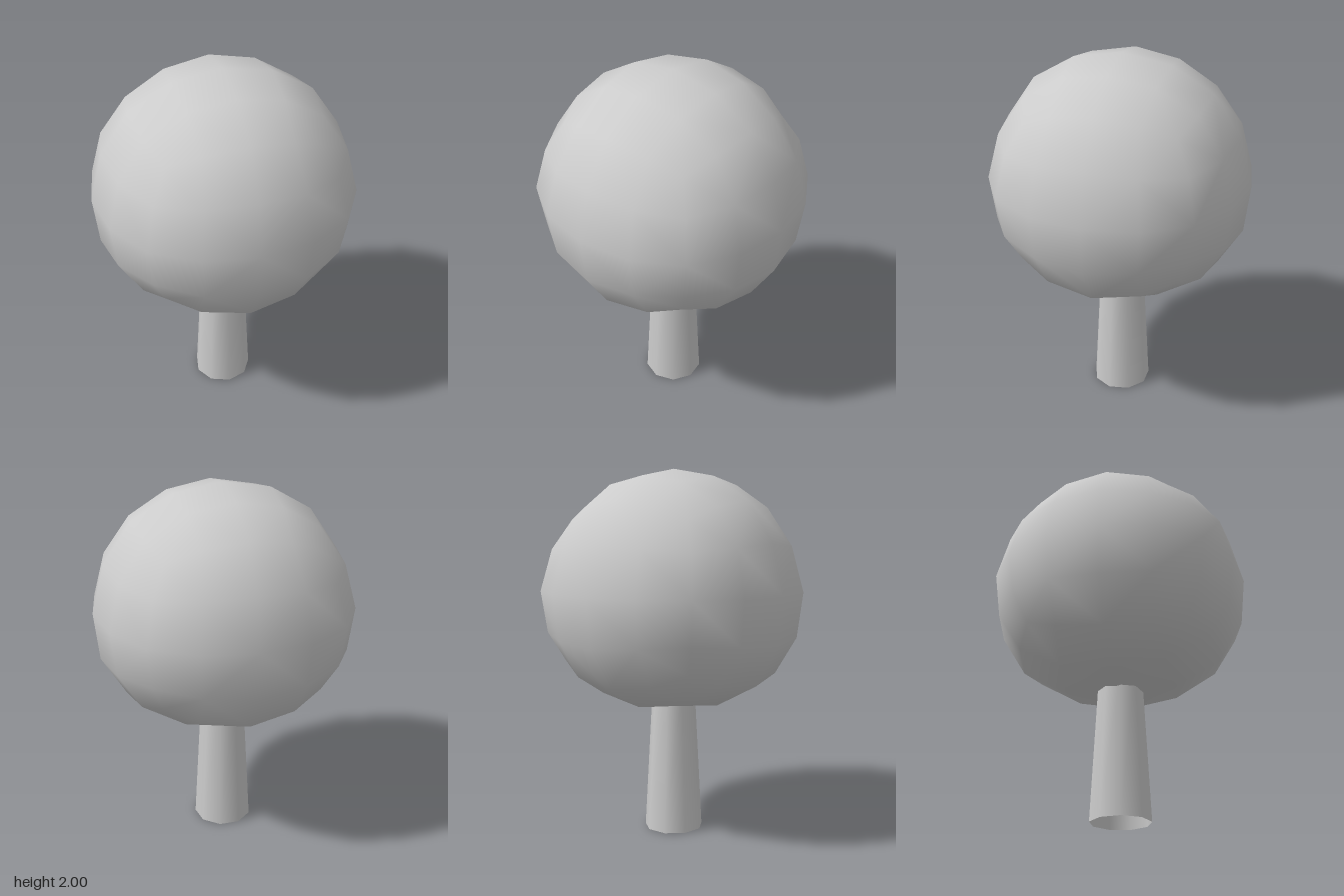
import * as THREE from 'three';

// One Catmull-Clark step on a closed quad mesh
function subdivide({ points, quads }) {
  const mean = (list) =>
    list.reduce((s, p) => s.add(p), new THREE.Vector3()).divideScalar(list.length);
  const facePts = quads.map((q) => mean(q.map((i) => points[i])));
  const edges = new Map();
  const around = points.map(() => ({ faces: [], mids: [] }));
  const key = (a, b) => Math.min(a, b) + '_' + Math.max(a, b);

  quads.forEach((q, f) => q.forEach((a, k) => {
    const b = q[(k + 1) % 4];
    around[a].faces.push(facePts[f]);
    if (!edges.has(key(a, b))) edges.set(key(a, b), { a, b, faces: [] });
    edges.get(key(a, b)).faces.push(facePts[f]);
  }));
  for (const { a, b } of edges.values()) {
    const mid = mean([points[a], points[b]]);
    around[a].mids.push(mid);
    around[b].mids.push(mid);
  }

  const out = points.map((p, i) => {
    const n = around[i].faces.length;
    return mean(around[i].faces)
      .addScaledVector(mean(around[i].mids), 2)
      .addScaledVector(p, n - 3)
      .divideScalar(n);
  });
  const faceStart = out.length;
  out.push(...facePts);
  for (const e of edges.values()) {
    e.index = out.length;
    out.push(mean([points[e.a], points[e.b], ...e.faces]));
  }
  const outQuads = quads.flatMap((q, f) => q.map((a, k) => [
    a,
    edges.get(key(a, q[(k + 1) % 4])).index,
    faceStart + f,
    edges.get(key(q[(k + 3) % 4], a)).index,
  ]));
  return { points: out, quads: outQuads };
}

// Rounded crown: a box, narrower at the top, subdivided twice
function crownGeometry(topHalf, bottomHalf, halfHeight) {
  const points = [];
  for (const sy of [-1, 1]) {
    const w = sy > 0 ? topHalf : bottomHalf;
    for (const [sx, sz] of [[-1, 1], [1, 1], [1, -1], [-1, -1]]) {
      points.push(new THREE.Vector3(sx * w, sy * halfHeight, sz * w));
    }
  }
  const quads = [[3, 2, 1, 0], [4, 5, 6, 7]];
  for (let i = 0; i < 4; i++) {
    const j = (i + 1) % 4;
    quads.push([i, j, j + 4, i + 4]);
  }
  const mesh = subdivide(subdivide({ points, quads }));
  const geometry = new THREE.BufferGeometry().setFromPoints(mesh.points);
  geometry.setIndex(mesh.quads.flatMap(([a, b, c, d]) => [a, b, c, a, c, d]));
  geometry.computeVertexNormals();
  return geometry;
}

export function createModel() {
  const tree = new THREE.Group();
  tree.name = 'tree';

  const crown = new THREE.Mesh(
    crownGeometry(0.707, 0.893, 0.746),
    new THREE.MeshStandardMaterial({ color: 0xcccccc }),
  );
  crown.name = 'crown';
  crown.position.y = 1.345;
  tree.add(crown);

  // Open tapered trunk, its top hidden inside the crown
  const height = 0.8;
  const trunk = new THREE.Mesh(
    new THREE.CylinderGeometry(0.12, 0.163, height, 9, 1, true),
    new THREE.MeshStandardMaterial({ color: 0xcccccc, side: THREE.DoubleSide }),
  );
  trunk.name = 'trunk';
  trunk.position.y = height / 2;
  tree.add(trunk);

  return tree;
}
